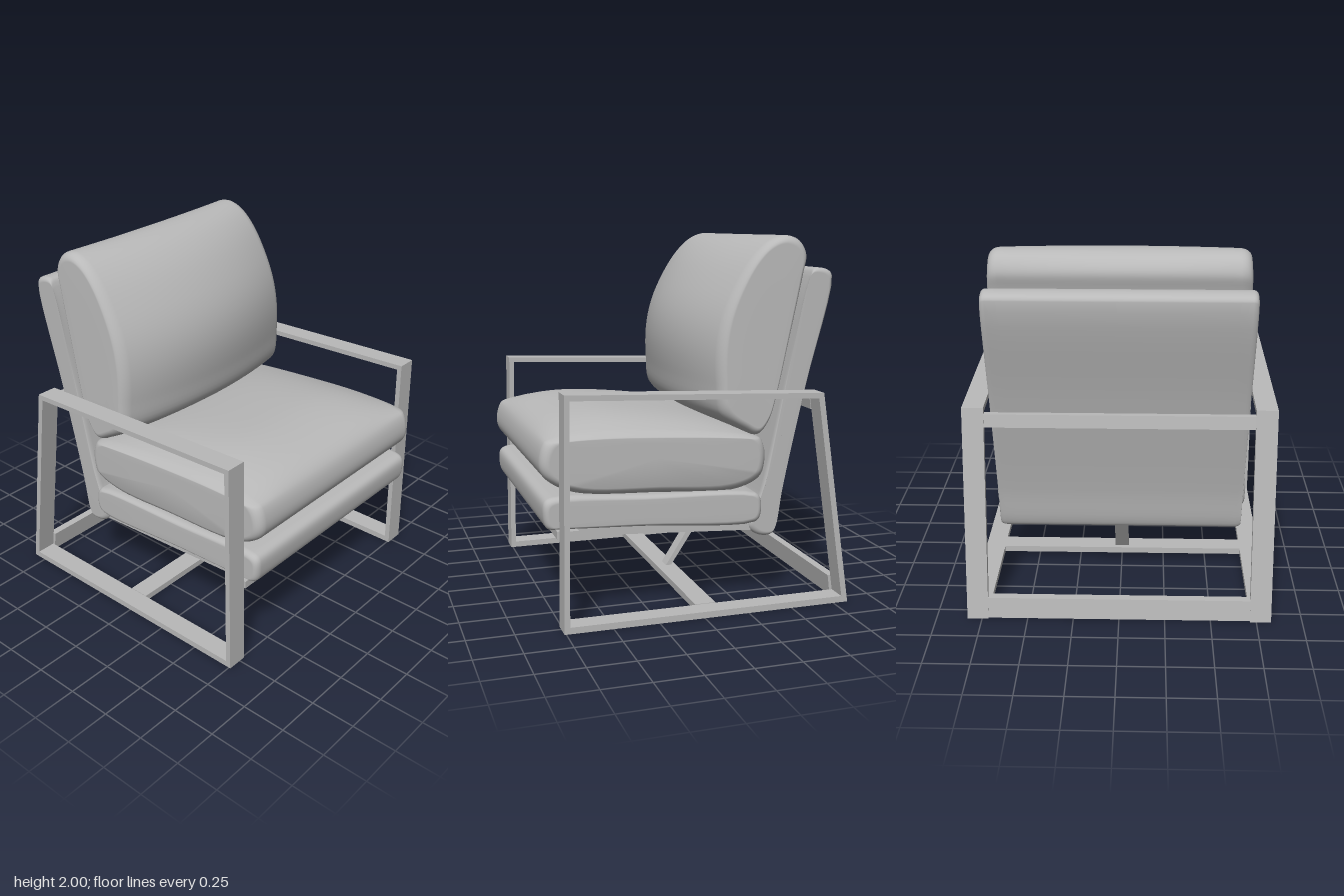
import * as THREE from 'three';

const upholstery = new THREE.MeshStandardMaterial({ color: 0xb9b9b9 });
upholstery.name = 'grey';

// Flat slab: a polygon of [z, y] points, extruded from x0 to x1
function slab(name, points, x0, x1, hole) {
  const toVec = ([z, y]) => new THREE.Vector2(z, y);
  const shape = new THREE.Shape(points.map(toVec));
  if (hole) shape.holes.push(new THREE.Path(hole.map(toVec)));
  const geo = new THREE.ExtrudeGeometry(shape, { depth: x1 - x0, bevelEnabled: false });
  geo.rotateY(-Math.PI / 2).translate(x1, 0, 0);
  const mesh = new THREE.Mesh(geo, upholstery);
  mesh.name = name;
  return mesh;
}

// Padded form: a smooth [z, y] outline (up the front, back over the top),
// swept across x with rounded ends; bend(point, u) shapes it along the width.
function cushion(name, outline, halfWidth, round, inset, bend = () => {}) {
  const curve = new THREE.CatmullRomCurve3(
    outline.map(([z, y]) => new THREE.Vector3(0, y, z)), true, 'centripetal');
  const ring = curve.getPoints(outline.length * 6).slice(0, -1);
  const box = new THREE.Box3().setFromPoints(ring);
  const mid = box.getCenter(new THREE.Vector3());
  const half = box.getSize(new THREE.Vector3()).multiplyScalar(0.5);

  // Stations along x: [position, inset amount, scale]
  const end = [[halfWidth, inset, 0], [halfWidth, inset, 0.5]];
  for (let i = 0; i <= 6; i++) {
    const a = (i / 6) * Math.PI / 2;
    end.push([halfWidth - round * (1 - Math.cos(a)), inset * (1 - Math.sin(a)), 1]);
  }
  const stations = end.map(([x, k, s]) => [-x, k, s]);
  const inner = halfWidth - round;
  for (let i = 1; i < 20; i++) stations.push([-inner + (2 * inner * i) / 20, 0, 1]);
  stations.push(...end.reverse());

  const pos = [], index = [], n = ring.length;
  stations.forEach(([x, k, s], i) => {
    ring.forEach((p, j) => {
      const v = new THREE.Vector3(
        x,
        mid.y + (p.y - mid.y) * s * (1 - k / half.y),
        mid.z + (p.z - mid.z) * s * (1 - k / half.z));
      bend(v, x / halfWidth);
      pos.push(v.x, v.y, v.z);
      if (i === stations.length - 1) return;
      const a = i * n + j, c = i * n + (j + 1) % n;
      index.push(a, a + n, c, c, a + n, c + n);
    });
  });
  const geo = new THREE.BufferGeometry();
  geo.setAttribute('position', new THREE.Float32BufferAttribute(pos, 3));
  geo.setIndex(index);
  geo.computeVertexNormals();
  const mesh = new THREE.Mesh(geo, upholstery);
  mesh.name = name;
  return mesh;
}

export function createModel() {
  const chair = new THREE.Group();
  chair.name = 'armchair';

  // Flat-bar side frames with slanted rear legs
  const outer = [[0.76, 0], [0.745, 1.23], [-0.66, 1.175], [-0.835, 0]];
  const opening = [[0.73, 0.035], [0.717, 1.2], [-0.632, 1.147], [-0.798, 0.035]];
  chair.add(slab('leftSideFrame', outer, 0.715, 0.83, opening));
  chair.add(slab('rightSideFrame', outer, -0.83, -0.715, opening));

  // Crossbars between the side frames
  chair.add(slab('rearBottomBar', [[-0.785, 0.005], [-0.77, 0.12], [-0.815, 0.12], [-0.832, 0.005]], -0.715, 0.715));
  chair.add(slab('rearTopBar', [[-0.64, 1.07], [-0.63, 1.14], [-0.662, 1.14], [-0.673, 1.07]], -0.715, 0.715));
  chair.add(slab('floorBar', [[-0.1, 0.002], [0.015, 0.002], [0.015, 0.038], [-0.1, 0.038]], -0.715, 0.715));

  // Central diagonal strut
  chair.add(slab('strut', [[-0.035, 0.03], [-0.068, 0.03], [-0.32, 0.41], [-0.285, 0.42]], -0.04, 0.04));

  // Seat frame under the upholstery
  const rail = (name, z0, z1, x0, x1) => {
    const top = z => 0.468 + 0.056 * z;
    chair.add(slab(name, [[z0, top(z0) - 0.042], [z1, top(z1) - 0.042], [z1, top(z1)], [z0, top(z0)]], x0, x1));
  };
  rail('seatFrontRail', 0.65, 0.765, -0.715, 0.715);
  rail('seatRearRail', -0.33, -0.22, -0.55, 0.55);
  rail('seatLeftRail', -0.33, 0.65, 0.55, 0.66);
  rail('seatRightRail', -0.33, 0.65, -0.66, -0.55);

  // Upholstered seat base
  chair.add(cushion('seatBase', [
    [0.81, 0.52], [0.83, 0.6], [0.82, 0.66], [0.775, 0.682], [0.3, 0.66],
    [-0.34, 0.62], [-0.37, 0.59], [-0.37, 0.49], [-0.34, 0.457], [0.3, 0.49], [0.74, 0.512],
  ], 0.705, 0.04, 0.03));

  // Loose seat cushion, crowned across its width
  chair.add(cushion('seatCushion', [
    [0.8, 0.765], [0.837, 0.82], [0.84, 0.89], [0.81, 0.97], [0.72, 1.03], [0.5, 1.07],
    [0.2, 1.055], [-0.2, 0.99], [-0.36, 0.93], [-0.395, 0.86], [-0.39, 0.75], [-0.36, 0.69],
    [-0.22, 0.635], [0.2, 0.655], [0.65, 0.69],
  ], 0.705, 0.06, 0.05, (v, u) => {
    const seam = 0.935 + 0.04 * v.z;
    if (v.y > seam) v.y = seam + (v.y - seam) * (1 - 0.75 * u ** 4);
    if (v.y < 0.74) v.x *= 1 - (0.74 - v.y) * 0.4;
  }));

  // Slanted upholstered back panel
  chair.add(cushion('backPanel', [
    [-0.31, 0.43], [-0.335, 0.52], [-0.375, 0.62], [-0.5, 1.2], [-0.632, 1.78], [-0.66, 1.823],
    [-0.74, 1.815], [-0.765, 1.785], [-0.627, 1.2], [-0.495, 0.62], [-0.455, 0.4],
    [-0.435, 0.372], [-0.36, 0.38],
  ], 0.695, 0.03, 0.025, v => { v.x *= 1 - 0.018 * (1.8 - v.y); }));

  // Plump back cushion, bulging forward in the middle
  chair.add(cushion('backCushion', [
    [-0.075, 1.06], [-0.04, 1.22], [-0.03, 1.4], [-0.055, 1.55], [-0.12, 1.7], [-0.24, 1.87],
    [-0.36, 1.965], [-0.48, 1.997], [-0.58, 1.97], [-0.632, 1.9], [-0.615, 1.8], [-0.535, 1.45],
    [-0.455, 1.12], [-0.41, 1.0], [-0.34, 0.935], [-0.24, 0.965],
  ], 0.69, 0.06, 0.045, (v, u) => {
    const back = -0.45 - 0.225 * (v.y - 1.1);
    const front = Math.max(0, v.z - back) / 0.45;
    v.z -= 0.1 * u * u * front;
    v.x *= 1 - 0.035 * Math.max(0, v.y - 1.1);
  }));

  return chair;
}
